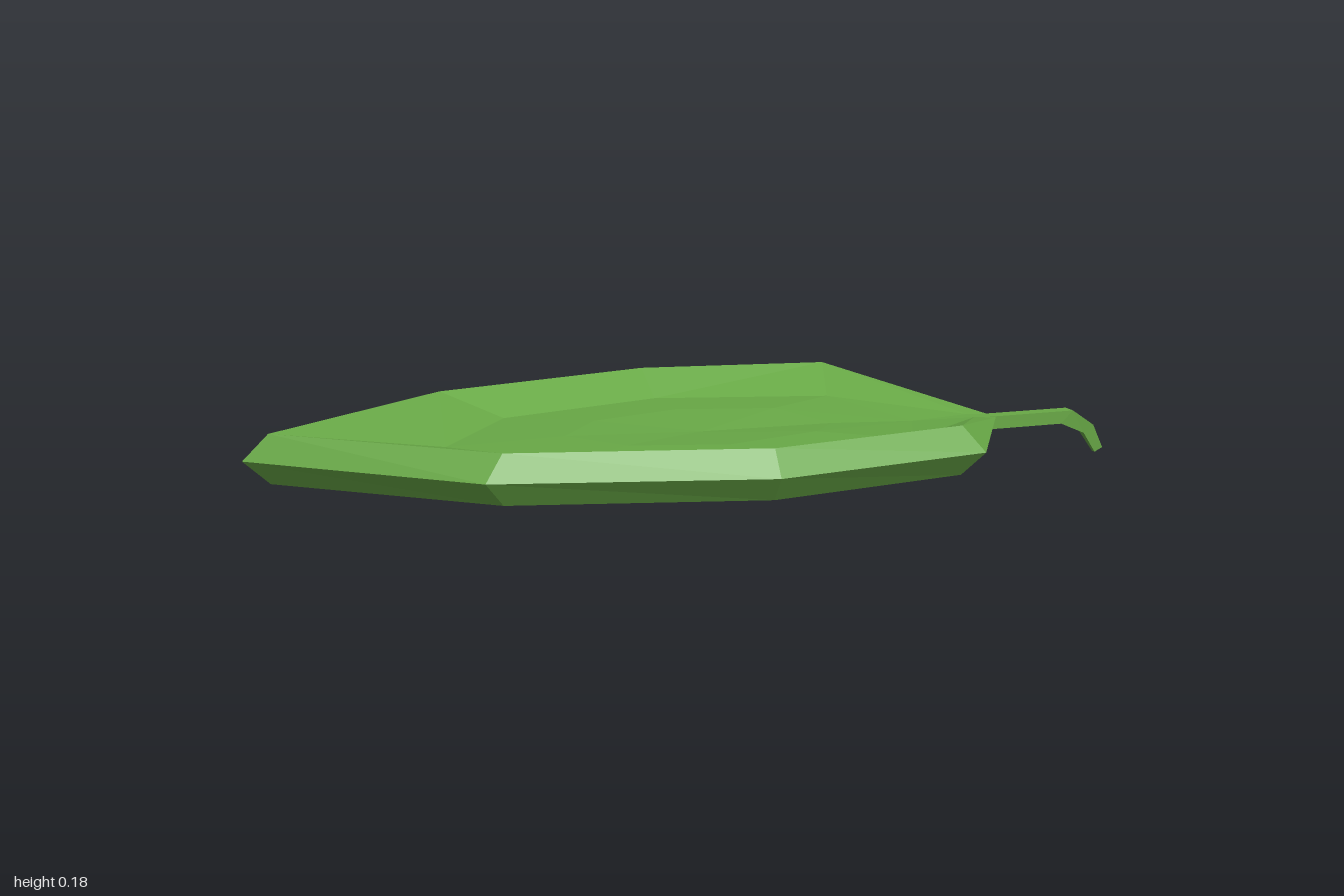
import * as THREE from 'three';

const V = (x, y, z) => new THREE.Vector3(x, y, z);

// Joins successive closed rings of equal length into a faceted skin.
// Diagonals flip halfway round so that both sides mirror each other.
function loft(rings) {
  const pos = [];
  const tri = (a, b, c) => {
    const area = b.clone().sub(a).cross(c.clone().sub(a)).length();
    if (area > 1e-7) pos.push(...a, ...b, ...c);
  };
  for (let r = 0; r < rings.length - 1; r++) {
    const a = rings[r], b = rings[r + 1], n = a.length;
    for (let i = 0; i < n; i++) {
      const j = (i + 1) % n;
      if (i < n / 2) {
        tri(a[i], b[i], b[j]);
        tri(a[i], b[j], a[j]);
      } else {
        tri(a[i], b[i], a[j]);
        tri(a[j], b[i], b[j]);
      }
    }
  }
  const g = new THREE.BufferGeometry();
  g.setAttribute('position', new THREE.Float32BufferAttribute(pos, 3));
  g.computeVertexNormals();
  return g;
}

// Leaf ring: half outline from tip to stem end, mirrored across z = 0.
// y is the ring height, endY its height at the stem end.
function leafRing(half, y, endY = y) {
  const pts = half.map(([x, z], i) => V(x, i === half.length - 1 ? endY : y, z));
  const back = pts.slice(1).reverse().map((p) => V(p.x, p.y, -p.z));
  return [...pts, ...back];
}

export function createModel() {
  const group = new THREE.Group();
  group.name = 'leafPlate';
  const green = new THREE.MeshStandardMaterial({ color: 0x68a846, flatShading: true });

  const outer = [[-1, 0], [-0.57, 0.348], [-0.01, 0.492], [0.475, 0.418], [0.705, 0.02]];
  const rim = [[-0.945, 0], [-0.53, 0.325], [-0.01, 0.455], [0.435, 0.385], [0.65, 0.018]];
  const middle = [[-0.58, 0], [-0.4, 0.245], [-0.01, 0.35], [0.39, 0.245], [0.5, 0]];
  const inner = [[-0.32, 0], [-0.22, 0.13], [-0.01, 0.19], [0.21, 0.13], [0.3, 0]];
  const centre = inner.map(() => [-0.01, 0]);

  // Dished blade: upper face with a low swell, bevelled edge, rounded underside
  const blade = new THREE.Mesh(loft([
    leafRing(centre, 0.12),
    leafRing(inner, 0.132, 0.117),
    leafRing(middle, 0.127, 0.108),
    leafRing(rim, 0.182, 0.11),
    leafRing(outer, 0.128, 0.106),
    leafRing(rim, 0.076),
    leafRing(middle, 0.062, 0.053),
    leafRing(inner, 0.027),
    leafRing(centre, 0.016),
  ]), green);
  blade.name = 'leafBlade';
  group.add(blade);

  // Hooked stem: [top x, top y, bottom x, bottom y, half width]
  const sections = [
    [0.65, 0.108, 0.65, 0.078, 0.018],
    [0.91, 0.108, 0.88, 0.078, 0.017],
    [0.97, 0.068, 0.945, 0.05, 0.011],
    [1, 0.01, 0.98, 0, 0.006],
  ];
  const rings = sections.map(([tx, ty, bx, by, w]) =>
    [V(tx, ty, w), V(tx, ty, -w), V(bx, by, -w), V(bx, by, w)]);
  const cap = (ring) => {
    const c = ring[0].clone().add(ring[2]).multiplyScalar(0.5);
    return ring.map(() => c);
  };
  const stem = new THREE.Mesh(loft([cap(rings[0]), ...rings, cap(rings[3])]), green);
  stem.name = 'stem';
  group.add(stem);

  return group;
}
